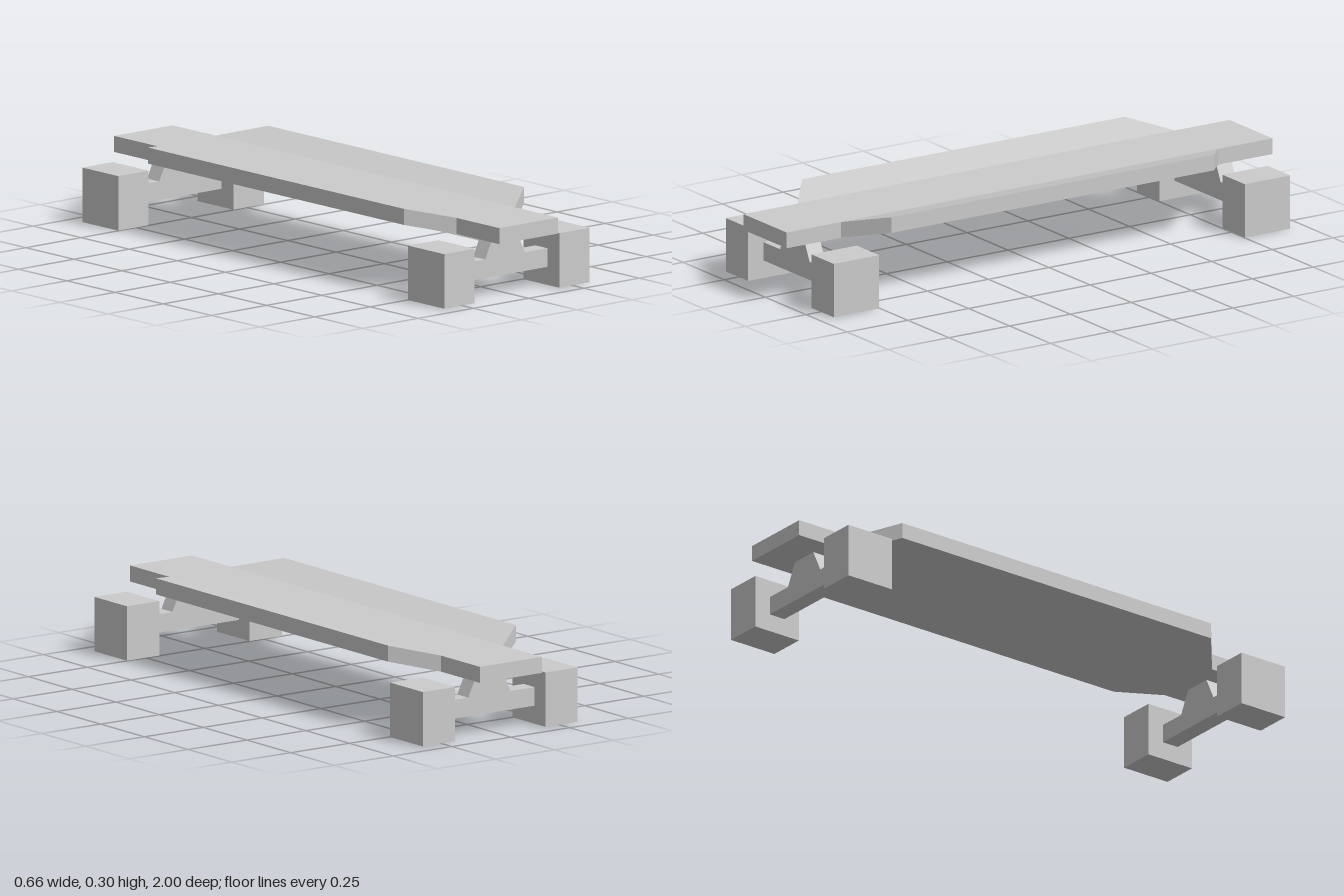
import * as THREE from 'three';

const material = new THREE.MeshStandardMaterial({ color: 0xcccccc, flatShading: true });

function addMesh(parent, geometry, name, x = 0, y = 0, z = 0) {
  const mesh = new THREE.Mesh(geometry, material);
  mesh.name = name;
  mesh.position.set(x, y, z);
  parent.add(mesh);
  return mesh;
}

// Concave deck: flat centre strip with nose and tail, and two side wings bent upwards
function deckGeometry() {
  const c = 0.132, w = 0.272, bottom = 0.207, thickness = 0.056, rise = 0.033;
  const outline = [
    [-c, 1], [c, 1], [c, 0.777], [w, 0.664], [w, -0.664], [c, -0.777],
    [c, -1], [-c, -1], [-c, -0.777], [-w, -0.664], [-w, 0.664], [-c, 0.777],
  ];
  const n = outline.length;
  const positions = [];
  for (const lift of [0, thickness]) {
    for (const [x, z] of outline) {
      const bend = Math.abs(x) > c ? rise : 0;
      positions.push(x, bottom + bend + lift, z);
    }
  }
  const faces = [
    [0, 1, 2], [0, 2, 11], [11, 2, 5], [11, 5, 8], [8, 5, 6], [8, 6, 7], // centre strip
    [2, 3, 4], [2, 4, 5], [8, 9, 10], [8, 10, 11],                       // wings
  ];
  const index = [];
  for (const [a, b, d] of faces) index.push(a + n, b + n, d + n, d, b, a);
  // rim
  for (let i = 0; i < n; i++) {
    const j = (i + 1) % n;
    index.push(i, j, j + n, i, j + n, i + n);
  }
  const geometry = new THREE.BufferGeometry();
  geometry.setAttribute('position', new THREE.Float32BufferAttribute(positions, 3));
  geometry.setIndex(index);
  const flat = geometry.toNonIndexed();
  flat.computeVertexNormals();
  return flat;
}

// Truck: axle bar with a tapered pedestal in one profile
function truckGeometry() {
  const depth = 0.063;
  const profile = [
    [-0.192, 0.063], [0.192, 0.063], [0.192, 0.128], [0.09, 0.128],
    [0.052, 0.207], [-0.052, 0.207], [-0.09, 0.128], [-0.192, 0.128],
  ];
  const shape = new THREE.Shape(profile.map(([x, y]) => new THREE.Vector2(x, y)));
  const geometry = new THREE.ExtrudeGeometry(shape, { depth, bevelEnabled: false });
  return geometry.translate(0, 0, -depth / 2);
}

export function createModel() {
  const model = new THREE.Group();
  model.name = 'skateboard';
  addMesh(model, deckGeometry(), 'deck');

  // Truck and pair of block wheels at each end
  const truck = truckGeometry();
  const wheel = new THREE.BoxGeometry(0.137, 0.19, 0.187);
  for (const [end, z] of [['front', 0.846], ['back', -0.846]]) {
    const assembly = new THREE.Group();
    assembly.name = `${end}Wheels`;
    assembly.position.z = z;
    addMesh(assembly, truck, `${end}Truck`);
    addMesh(assembly, wheel, `${end}LeftWheel`, 0.2605, 0.095);
    addMesh(assembly, wheel, `${end}RightWheel`, -0.2605, 0.095);
    model.add(assembly);
  }
  return model;
}
